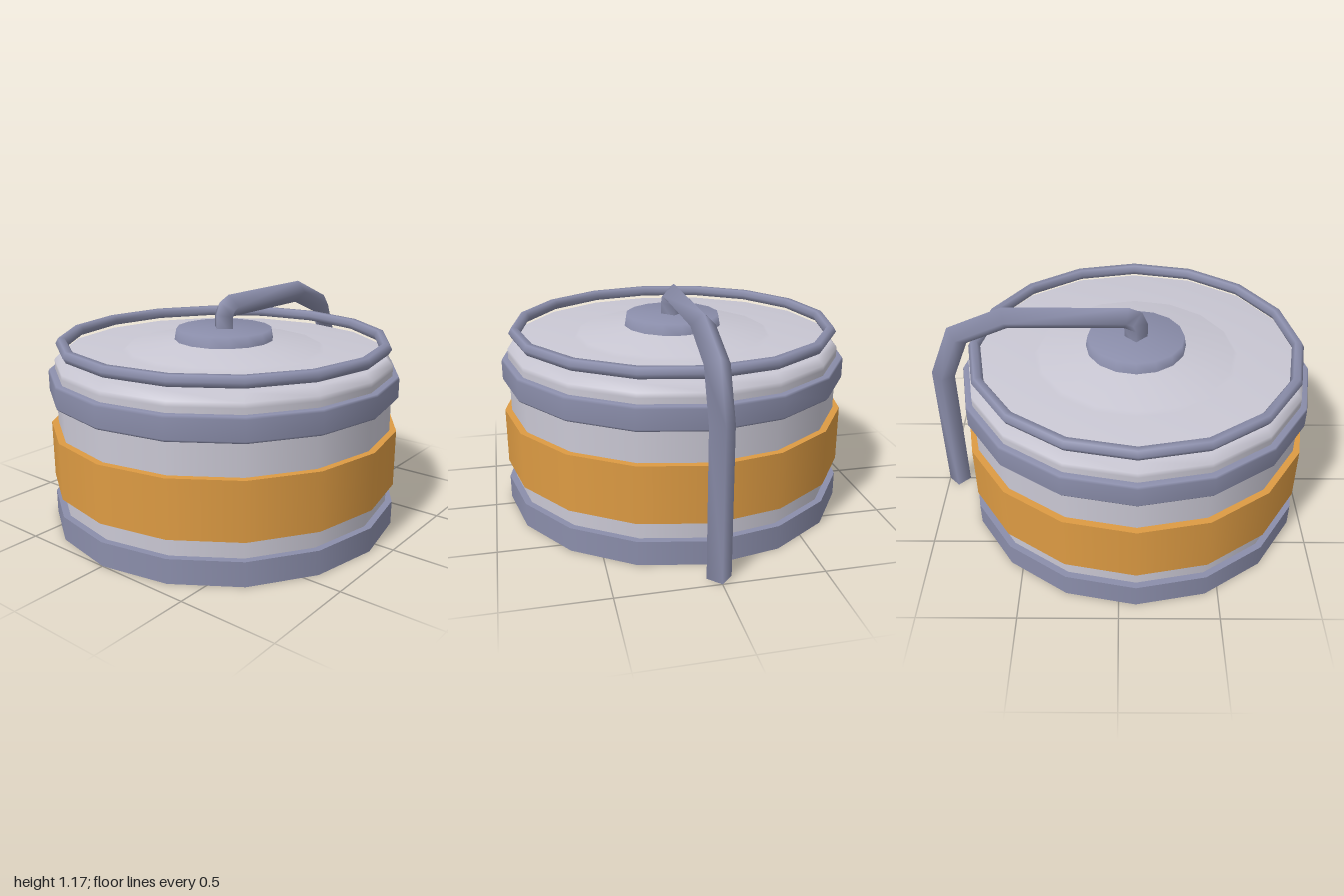
import * as THREE from 'three';

const SIDES = 16;
const CENTRE_Z = 0.085;

const material = (name, color) => {
  const m = new THREE.MeshStandardMaterial({ color });
  m.name = name;
  return m;
};

// Square pipe swept along a path in the y-z plane, mitred at each bend, ends closed.
function sweptPipe(path, r) {
  const pos = [], index = [];
  const pts = path.map(([z, y]) => new THREE.Vector2(z, y));
  const dir = i => pts[i + 1].clone().sub(pts[i]).normalize();
  const last = pts.length - 1;
  pts.forEach((p, i) => {
    const a = dir(Math.max(i - 1, 0)), b = dir(Math.min(i, last - 1));
    const t = a.clone().add(b).normalize();
    const k = r / t.dot(a);
    const nz = -t.y * k, ny = t.x * k;
    pos.push(r, p.y, p.x, 0, p.y + ny, p.x + nz, -r, p.y, p.x, 0, p.y - ny, p.x - nz);
  });
  for (let i = 0; i < last; i++) {
    for (let j = 0; j < 4; j++) {
      const a = i * 4 + j, b = i * 4 + (j + 1) % 4;
      index.push(a, b, a + 4, b, b + 4, a + 4);
    }
  }
  // separate corners for the end caps
  for (const [ring, order] of [[0, [0, 2, 1, 0, 3, 2]], [last, [0, 1, 2, 0, 2, 3]]]) {
    const base = pos.length / 3;
    pos.push(...pos.slice(ring * 12, ring * 12 + 12));
    index.push(...order.map(o => base + o));
  }
  const g = new THREE.BufferGeometry();
  g.setAttribute('position', new THREE.Float32BufferAttribute(pos, 3));
  g.setIndex(index);
  g.computeVertexNormals();
  return g;
}

export function createModel() {
  const model = new THREE.Group();
  model.name = 'storageTank';
  const shell = material('pale grey shell', 0xcac8d4);
  const steel = material('blue grey steel', 0x8b8eab);
  const orange = material('orange paint', 0xdd9b43);

  const add = (name, geometry, mat, y = 0, z = CENTRE_Z) => {
    const mesh = new THREE.Mesh(geometry, mat);
    mesh.name = name;
    mesh.position.set(0, y, z);
    model.add(mesh);
    return mesh;
  };
  const lathe = points =>
    new THREE.LatheGeometry(points.map(([r, y]) => new THREE.Vector2(r, y)), SIDES);
  const band = (name, y0, y1, mat) =>
    add(name, new THREE.CylinderGeometry(0.915, 0.915, y1 - y0, SIDES), mat, (y0 + y1) / 2);

  // Tank wall, bevelled shoulder and shallow roof
  add('tankBody', lathe([
    [0.88, 0.02], [0.88, 0.83], [0.88, 0.855], [0.845, 0.89],
    [0.53, 0.892], [0.51, 0.908], [0.25, 0.945],
  ]), shell);

  // Bands around the wall
  band('baseBand', 0, 0.125, steel);
  band('paintedBand', 0.22, 0.515, orange);
  add('upperBand', lathe([
    [0.87, 0.68], [0.905, 0.68], [0.915, 0.692], [0.915, 0.79], [0.91, 0.802], [0.87, 0.802],
  ]), steel);

  // Guard rail above the roof edge
  const rail = new THREE.TorusGeometry(0.84, 0.031, 6, SIDES);
  rail.rotateX(Math.PI / 2);
  add('guardRail', rail, steel, 0.938);

  // Central hatch
  add('roofHatch', lathe([[0.262, 0.93], [0.25, 1.0], [0, 1.0]]), steel);

  // Pipe from the hatch over the edge and down to the ground
  add('outletPipe', sweptPipe([
    [0.085, 0.96], [0.085, 1.06], [0.07, 1.093], [0.035, 1.107],
    [-0.585, 1.107], [-0.84, 1.0], [-0.94, 0.755], [-0.94, 0],
  ], 0.06), steel, 0, 0);

  return model;
}
